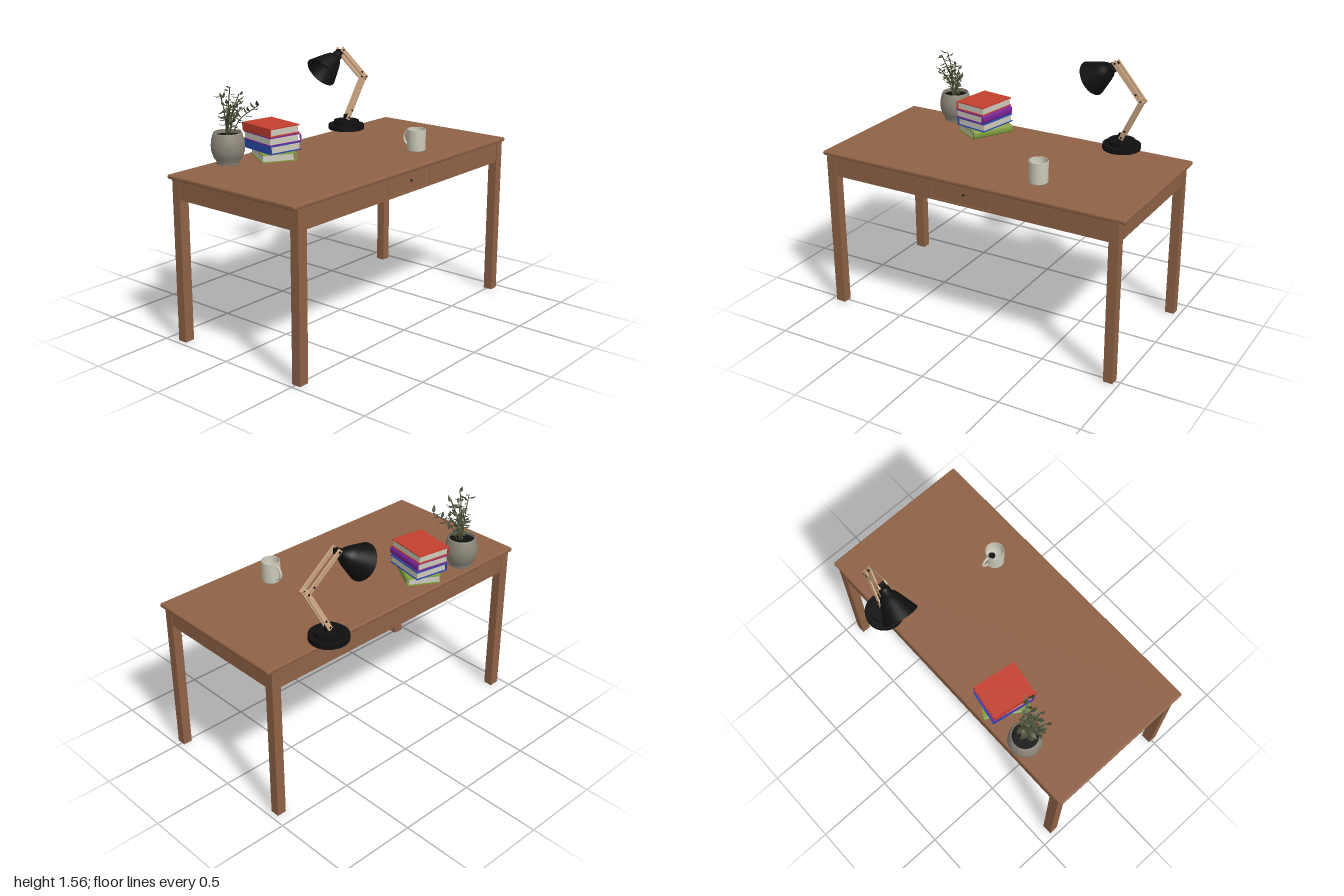
import * as THREE from 'three';
import { RoundedBoxGeometry } from 'three/addons/geometries/RoundedBoxGeometry.js';

const V = (x, y, z) => new THREE.Vector3(x, y, z);
const UP = V(0, 1, 0);

function material(name, color, side = THREE.FrontSide) {
  const m = new THREE.MeshStandardMaterial({ color, side });
  m.name = name;
  return m;
}

export function createModel() {
  const mat = {
    wood: material('desk wood', 0x8f6246),
    cream: material('cream', 0xcdcabb, THREE.DoubleSide),
    black: material('black', 0x101010, THREE.DoubleSide),
    pale: material('pale wood', 0xd0aa86),
    pot: material('stone grey', 0x8d877a, THREE.DoubleSide),
    leaf: material('leaf green', 0x454b34, THREE.DoubleSide),
    red: material('red cover', 0xc4402f),
    purple: material('purple cover', 0x7d2596),
    blue: material('blue cover', 0x2b4bb0),
    green: material('green cover', 0x839e3e),
  };
  const root = new THREE.Group();
  const group = (name, x = 0, y = 0, z = 0) => {
    const g = new THREE.Group();
    g.name = name;
    g.position.set(x, y, z);
    root.add(g);
    return g;
  };
  const add = (parent, name, geo, m, x = 0, y = 0, z = 0) => {
    const mesh = new THREE.Mesh(geo, m);
    mesh.name = name;
    mesh.position.set(x, y, z);
    parent.add(mesh);
    return mesh;
  };
  // Box given by its minimum and maximum corners
  const span = (parent, name, x0, x1, y0, y1, z0, z1, m = mat.wood) =>
    add(parent, name, new THREE.BoxGeometry(x1 - x0, y1 - y0, z1 - z0), m,
      (x0 + x1) / 2, (y0 + y1) / 2, (z0 + z1) / 2);
  const lathe = (pts, seg = 40) =>
    new THREE.LatheGeometry(pts.map(p => new THREE.Vector2(p[0], p[1])), seg);

  // Desk: top, legs, aprons
  const desk = group('desk');
  add(desk, 'deskTop', new RoundedBoxGeometry(2, 0.025, 0.966, 2, 0.009), mat.wood, 0, 1.0015, 0.053);
  for (const [x0, x1] of [[-0.97, -0.905], [0.908, 0.966]])
    for (const [z0, z1] of [[0.478, 0.535], [-0.422, -0.365]])
      span(desk, 'leg', x0, x1, 0, 0.99, z0, z1);
  span(desk, 'backApron', -0.905, 0.908, 0.868, 0.99, -0.418, -0.39);
  for (const x of [-0.966, 0.934]) span(desk, 'sideApron', x, x + 0.028, 0.868, 0.99, -0.365, 0.478);
  span(desk, 'frontApron', -0.905, -0.217, 0.868, 0.99, 0.505, 0.531);
  span(desk, 'frontApron', 0.182, 0.908, 0.868, 0.99, 0.505, 0.531);
  span(desk, 'frontRail', -0.217, 0.182, 0.868, 0.879, 0.505, 0.531);

  // Drawer with runners underneath
  span(desk, 'drawerFront', -0.213, 0.178, 0.882, 0.99, 0.503, 0.531);
  span(desk, 'drawerBack', -0.213, 0.178, 0.9, 0.975, 0.19, 0.21);
  span(desk, 'drawerBottom', -0.2, 0.165, 0.91, 0.918, 0.21, 0.503);
  for (const x of [-0.24, 0.182]) span(desk, 'drawerRunner', x, x + 0.024, 0.9, 0.99, -0.39, 0.505);
  add(desk, 'drawerKnob', new THREE.SphereGeometry(0.008, 12, 8), mat.black, 0, 0.94, 0.532);

  // Books: page block between two boards, spine on one side
  function book(name, m, x, y, z, w, d, turn, side) {
    const h = 0.051, t = 0.006;
    const b = group(name, x, y, z);
    b.rotation.y = turn;
    for (const cy of [t / 2, h - t / 2]) add(b, 'cover', new THREE.BoxGeometry(w, t, d), m, 0, cy, 0);
    add(b, 'pages', new THREE.BoxGeometry(w - 0.014, h - 2 * t, d - 0.014), mat.cream, -side * 0.002, h / 2, 0);
    const spine = new THREE.CylinderGeometry(h / 2, h / 2, d, 16, 1, false, 0, Math.PI);
    spine.rotateX(Math.PI / 2).scale(0.5 * side, 1, side);
    const s = add(b, 'spine', new THREE.BoxGeometry(t, h, d), m, side * (w / 2 - t / 2), h / 2, 0);
    if (side > 0) {
      s.geometry = spine;
      s.position.x = w / 2 - 0.002;
    }
  }
  book('greenBook', mat.green, -0.328, 1.015, -0.25, 0.2, 0.272, -0.535, 1);
  book('blueBook', mat.blue, -0.328, 1.067, -0.252, 0.22, 0.272, -0.18, -1);
  book('purpleBook', mat.purple, -0.336, 1.119, -0.25, 0.215, 0.274, -0.19, 1);
  book('redBook', mat.red, -0.337, 1.171, -0.254, 0.218, 0.272, -0.16, -1);

  // Mug with a handle at the back
  const mug = group('mug', 0.358, 1.014, 0.303);
  add(mug, 'mugBody', lathe([[0, 0], [0.052, 0], [0.057, 0.006], [0.057, 0.13], [0.055, 0.133],
    [0.052, 0.13], [0.052, 0.02], [0, 0.018]]), mat.cream);
  const handle = new THREE.TorusGeometry(0.043, 0.008, 8, 24, Math.PI);
  handle.rotateZ(-Math.PI / 2).rotateY(Math.PI / 2);
  add(mug, 'mugHandle', handle, mat.cream, 0, 0.068, -0.05);
  add(mug, 'coffee', new THREE.CylinderGeometry(0.021, 0.021, 0.004, 20), mat.black, 0.026, 0.022, 0);

  // Plant pot and soil
  const plant = group('plant', -0.605, 1.014, -0.343);
  add(plant, 'pot', lathe([[0, 0], [0.066, 0], [0.073, 0.006], [0.066, 0.013], [0.085, 0.04], [0.097, 0.075],
    [0.1, 0.11], [0.096, 0.145], [0.086, 0.178], [0.082, 0.188], [0.076, 0.186], [0.08, 0.165]]), mat.pot);
  add(plant, 'soil', new THREE.CylinderGeometry(0.084, 0.084, 0.01, 32), mat.black, 0, 0.16, 0);

  // Stems with folded leaves; each entry is the offset of the stem's tip
  let seed = 11;
  const rnd = () => (seed = (seed * 16807) % 2147483647) / 2147483647;
  const outline = new THREE.Shape();
  outline.moveTo(0, 0);
  outline.quadraticCurveTo(0.019, 0.018, 0, 0.045);
  outline.quadraticCurveTo(-0.019, 0.018, 0, 0);
  const leafGeo = new THREE.ShapeGeometry(outline, 5);
  const lp = leafGeo.attributes.position;
  for (let i = 0; i < lp.count; i++) lp.setZ(i, Math.abs(lp.getX(i)) * 0.5 - lp.getY(i) ** 2 * 5);
  leafGeo.computeVertexNormals();
  const tips = [[-0.02, 0.46, 0.05], [-0.08, 0.43, 0.03], [0.04, 0.41, 0.06], [0.0, 0.39, 0.1],
    [-0.06, 0.36, 0.09], [0.07, 0.33, 0.05], [0.02, 0.35, -0.02], [0.12, 0.34, 0.13], [-0.04, 0.29, 0.03]];
  for (const [x, y, z] of tips) {
    const path = new THREE.CatmullRomCurve3([V(x * 0.15, 0.16, z * 0.15),
      V(x * 0.4, 0.16 + (y - 0.16) * 0.55, z * 0.4), V(x, y, z)]);
    add(plant, 'stem', new THREE.TubeGeometry(path, 10, 0.003, 5), mat.leaf);
    for (let k = 0; k < 11; k++) {
      const p = path.getPoint(0.3 + 0.07 * k);
      const a = k * 2.4 + rnd() * 1.5;
      const leaf = add(plant, 'leaf', leafGeo, mat.leaf, p.x, p.y, p.z);
      leaf.rotation.set(0.9 + rnd() * 1.5, a, 0, 'YXZ');
      leaf.scale.setScalar(0.75 + rnd() * 0.4);
    }
  }

  // Lamp base
  const lamp = group('lamp');
  const cyl = (r, h) => new THREE.CylinderGeometry(r, r, h, 40);
  add(lamp, 'lampBase', cyl(0.117, 0.03), mat.black, 0.545, 1.029, -0.408);
  add(lamp, 'lampBaseStep', cyl(0.083, 0.026), mat.black, 0.545, 1.057, -0.408);
  span(lamp, 'lampBracket', 0.525, 0.57, 1.065, 1.11, -0.415, -0.397, mat.black);

  // Lamp arms: paired strips with bolts at the ends
  const foot = V(0.55, 1.09, -0.406), elbow = V(0.68, 1.345, -0.378), head = V(0.49, 1.54, -0.412);
  function arm(name, a, b, gap) {
    const dir = b.clone().sub(a), len = dir.length();
    const g = group(name);
    g.position.copy(a).lerp(b, 0.5);
    g.quaternion.setFromUnitVectors(UP, dir.normalize());
    for (const s of [-1, 1]) {
      add(g, 'armStrip', new THREE.BoxGeometry(0.03, len + 0.03, 0.009), mat.pale, 0, 0, s * gap);
      for (const t of [-0.5, -0.32, 0.5]) {
        const bolt = add(g, 'bolt', new THREE.CylinderGeometry(0.006, 0.006, 0.005, 10), mat.black,
          0, t * len, s * (gap + 0.006));
        bolt.rotation.x = Math.PI / 2;
      }
    }
    const pin = add(g, 'spacer', new THREE.CylinderGeometry(0.006, 0.006, gap * 2, 10), mat.black, 0, len * 0.5, 0);
    pin.rotation.x = Math.PI / 2;
  }
  arm('lowerArm', foot, elbow, 0.014);
  arm('upperArm', elbow, head, 0.0235);

  // Lamp shade, opening down and to the side
  const shadeDir = V(-0.152, -0.1, -0.017).normalize();
  const shade = add(lamp, 'lampShade', lathe([[0, 0], [0.026, 0], [0.031, 0.006], [0.033, 0.03], [0.05, 0.048],
    [0.066, 0.08], [0.109, 0.184], [0.105, 0.184], [0.046, 0.05], [0, 0.046]]), mat.black, 0.475, 1.516, -0.416);
  shade.quaternion.setFromUnitVectors(UP, shadeDir);
  add(lamp, 'bulb', new THREE.SphereGeometry(0.035, 20, 14), mat.black, 0.395, 1.463, -0.425);
  add(lamp, 'shadeHinge', new THREE.BoxGeometry(0.03, 0.03, 0.036), mat.black, 0.483, 1.53, -0.413);

  return root;
}
